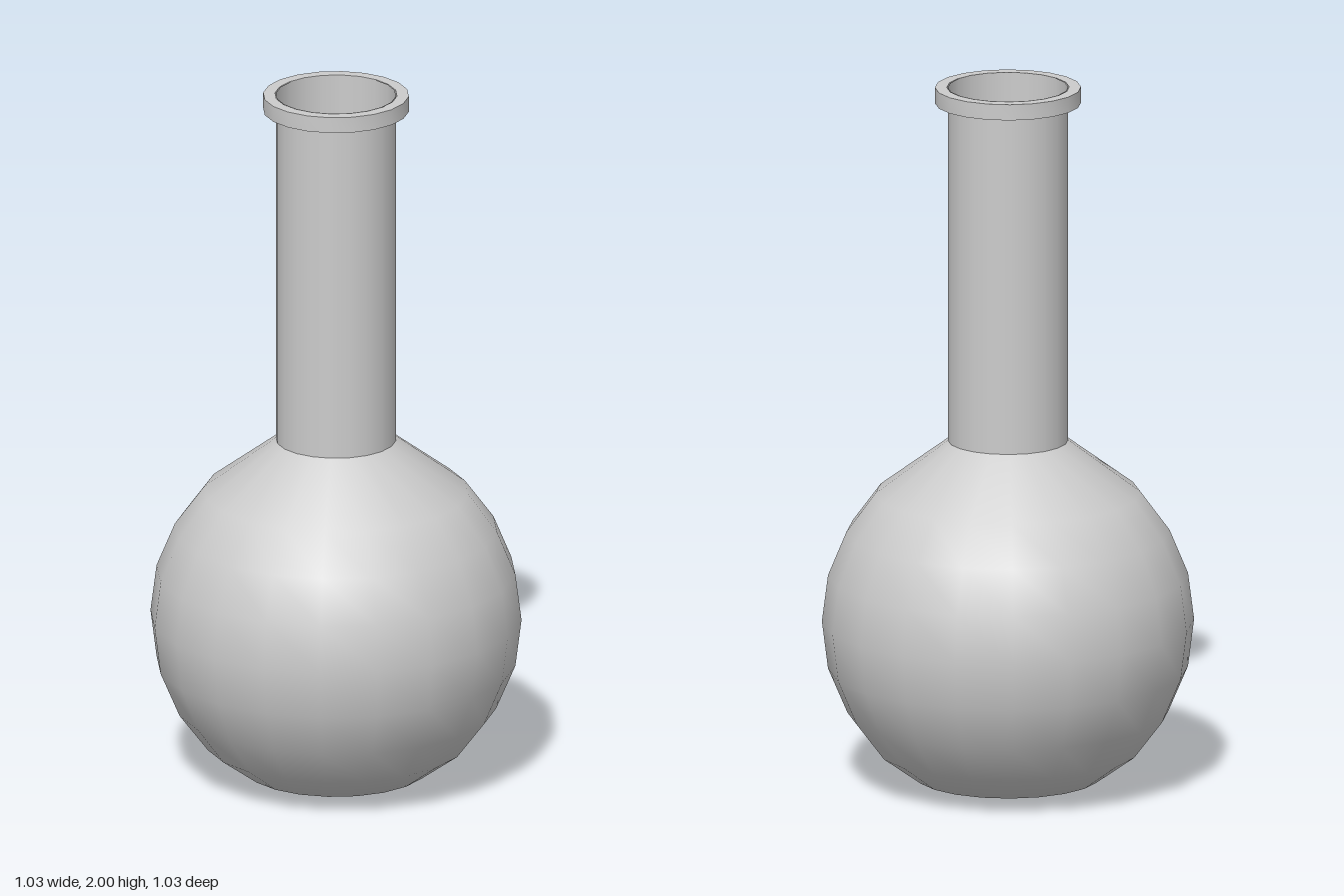
import * as THREE from 'three';
import { toCreasedNormals } from 'three/addons/utils/BufferGeometryUtils.js';

const SIDES = 20;

export function createModel() {
  const flask = new THREE.Group();
  flask.name = 'flask';
  const glass = new THREE.MeshStandardMaterial({ color: 0xcccccc, side: THREE.DoubleSide });

  // Revolves a profile of [radius, height] pairs, listed upward on the outside
  const turn = (name, profile, hardEdges) => {
    const points = profile.map(([r, y]) => new THREE.Vector2(r, y));
    let geometry = new THREE.LatheGeometry(points, SIDES);
    if (hardEdges) geometry = toCreasedNormals(geometry, Math.PI / 3);
    const mesh = new THREE.Mesh(geometry, glass);
    mesh.name = name;
    flask.add(mesh);
  };

  // Round bulb with a flattened base, drawn in to the neck
  turn('bulb', [
    [0, 0.003], [0.13, 0.003], [0.257, 0.028], [0.365, 0.106], [0.446, 0.213],
    [0.5, 0.34], [0.517, 0.475], [0.5, 0.607], [0.449, 0.73], [0.368, 0.84], [0.167, 0.99],
  ]);

  // Straight open neck
  turn('neck', [[0.167, 0.99], [0.167, 2]]);

  // Flat collar around the mouth
  turn('rim', [[0.17, 1.955], [0.203, 1.955], [0.203, 2], [0.17, 2], [0.17, 1.955]], true);

  // Rest the base on the ground
  flask.children[0].geometry.attributes.position.array.forEach((v, i, a) => {
    if (i % 3 === 1 && v < 0.01) a[i] = 0;
  });
  return flask;
}
